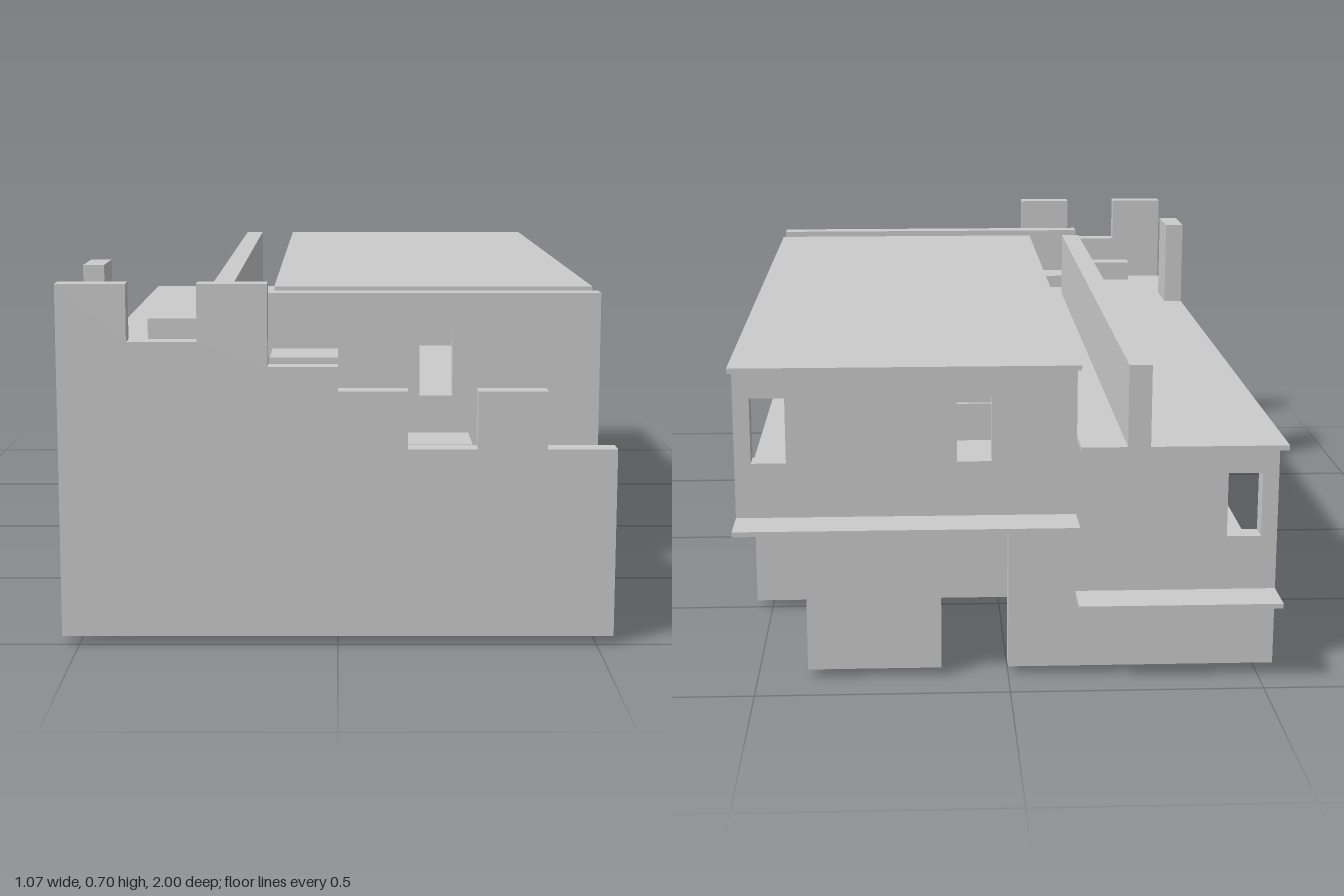
import * as THREE from 'three';

const concrete = new THREE.MeshStandardMaterial({ color: 0xcccccc });
concrete.name = 'pale grey';

export function createModel() {
  const model = new THREE.Group();
  model.name = 'splitLevelHouse';
  const T = 0.044; // wall thickness
  const M = 0.1333; // planning module
  const W = 0.533; // half width

  const add = (name, geometry) => {
    const mesh = new THREE.Mesh(geometry, concrete);
    mesh.name = name;
    model.add(mesh);
    return mesh;
  };
  // box given by its limits
  const block = (name, x0, x1, y0, y1, z0, z1) => {
    const mesh = add(name, new THREE.BoxGeometry(x1 - x0, y1 - y0, z1 - z0));
    mesh.position.set((x0 + x1) / 2, (y0 + y1) / 2, (z0 + z1) / 2);
    return mesh;
  };
  const rectHole = ([a0, a1, b0, b1]) => new THREE.Path([
    new THREE.Vector2(a0, b0), new THREE.Vector2(a0, b1),
    new THREE.Vector2(a1, b1), new THREE.Vector2(a1, b0)]);
  // outline with rectangular holes, extruded along z
  const plate = (name, points, holes, depth) => {
    const shape = new THREE.Shape(points.map(([a, b]) => new THREE.Vector2(a, b)));
    holes.forEach((h) => shape.holes.push(rectHole(h)));
    return add(name, new THREE.ExtrudeGeometry(shape, { depth, bevelEnabled: false }));
  };
  const rect = (a0, a1, b0, b1) => [[a0, b0], [a1, b0], [a1, b1], [a0, b1]];
  // window opening centred on a, above the floor level
  const windowAt = (a, floor) => [a - 0.034, a + 0.034, floor + 0.11, floor + 0.24];

  // stepped front screen wall
  const tops = [0.7, 0.59, 0.7, 0.542, 0.495, 0.384, 0.495, 0.384];
  const outline = [[W, 0.017], [-W, 0.017]];
  tops.forEach((y, i) => outline.push([-W + i * M, y], [-W + (i + 1) * M, y]));
  const clean = outline.reverse();
  plate('frontScreenWall', clean, [], T).position.z = 1 - T;

  // house front wall with its window
  plate('houseFrontWall', rect(-2 * M, W, 0.017, 0.655), [windowAt(0.2, 0.335)], T).position.z = 0.69;

  // lower cross wall
  plate('lowerCrossWall', rect(-M, W, 0.017, 0.325), [windowAt(0.333, 0.017)], 0.04).position.z = -0.505;

  // rear wall: upper room, left rooms and a free lower panel
  plate('rearUpperWall', rect(-M, W, 0.335, 0.645),
    [windowAt(0.467, 0.335), windowAt(0.067, 0.335)], T).position.z = -0.91;
  plate('rearSideWall', [[-W, 0.017], [0, 0.017], [0, 0.325], [-M, 0.325], [-M, 0.485], [-W, 0.485]],
    [windowAt(-0.467, 0.175)], T).position.z = -0.91;
  block('rearLowerPanel', M, 3 * M, 0.017, 0.325, -0.91, -0.866);

  // long spine wall and the parapet above it
  const spine = plate('spineWall', rect(-0.865, 0.91, 0.017, 0.485), [windowAt(0.8, 0.175)], T);
  spine.rotation.y = Math.PI / 2;
  spine.position.x = -2 * M;
  block('roofParapet', -2 * M, -2 * M + T, 0.495, 0.655, -1, 0.6);

  // staggered floor and roof slabs
  block('lowerSideFloor', -W, -M, 0.165, 0.175, -1, 0.865);
  block('upperSideFloor', -W, -M, 0.485, 0.495, -1, 0.865);
  block('roofSlab', -M, W, 0.645, 0.655, -1, 0.6);
  const floor = plate('mainFloor', rect(-M, W, -0.955, 1), [[-M + 0.002, M, -0.333, 0.333]], 0.01);
  floor.rotation.x = -Math.PI / 2;
  floor.position.y = 0.325;

  // inner stair: a thin shelf and a tread per step
  for (let i = 0; i < 4; i++) {
    const z = -0.2 + i * M;
    const y = 0.02 + i * 0.08;
    block('stairTread', -M, M, y, y + 0.027, z, z + M);
    if (i === 0) block('stairBase', -M, M, 0, 0.017, z + M, 0.6);
    else block('stairShelf', -M, M, y - 0.015, y - 0.006, z + M, 0.6);
  }
  // rail fins over the stairwell
  for (let i = 0; i < 6; i++) {
    const z = -0.34 + i * M;
    block('stairwellFin', -M, M, 0.335, 0.42, z - 0.006, z + 0.006);
  }

  // outer front steps
  for (let i = 0; i < 3; i++) {
    const y = 0.542 - i * 0.087;
    block('frontStep', (i - 1) * M, i * M, y - 0.042, y, 0.734, 0.865);
  }
  block('upperLanding', -2 * M, -M, 0.53, 0.543, 0.6, 0.69);
  block('roofStep', -3 * M, -2 * M, 0.54, 0.587, 0.55, 0.6);

  // loose pieces: corner pier, side steps and entrance slab
  block('cornerPier', -W, -W + T, 0.495, 0.7, 0.47, 0.6);
  block('sideStep', -W, -3 * M, 0.215, 0.26, 0.1, 0.167);
  block('sideFrontStep', -W, -3 * M, 0.205, 0.222, 0.76, 0.845);
  block('entranceSlab', 3 * M, W, 0, 0.017, -0.067, 0.333);

  return model;
}
